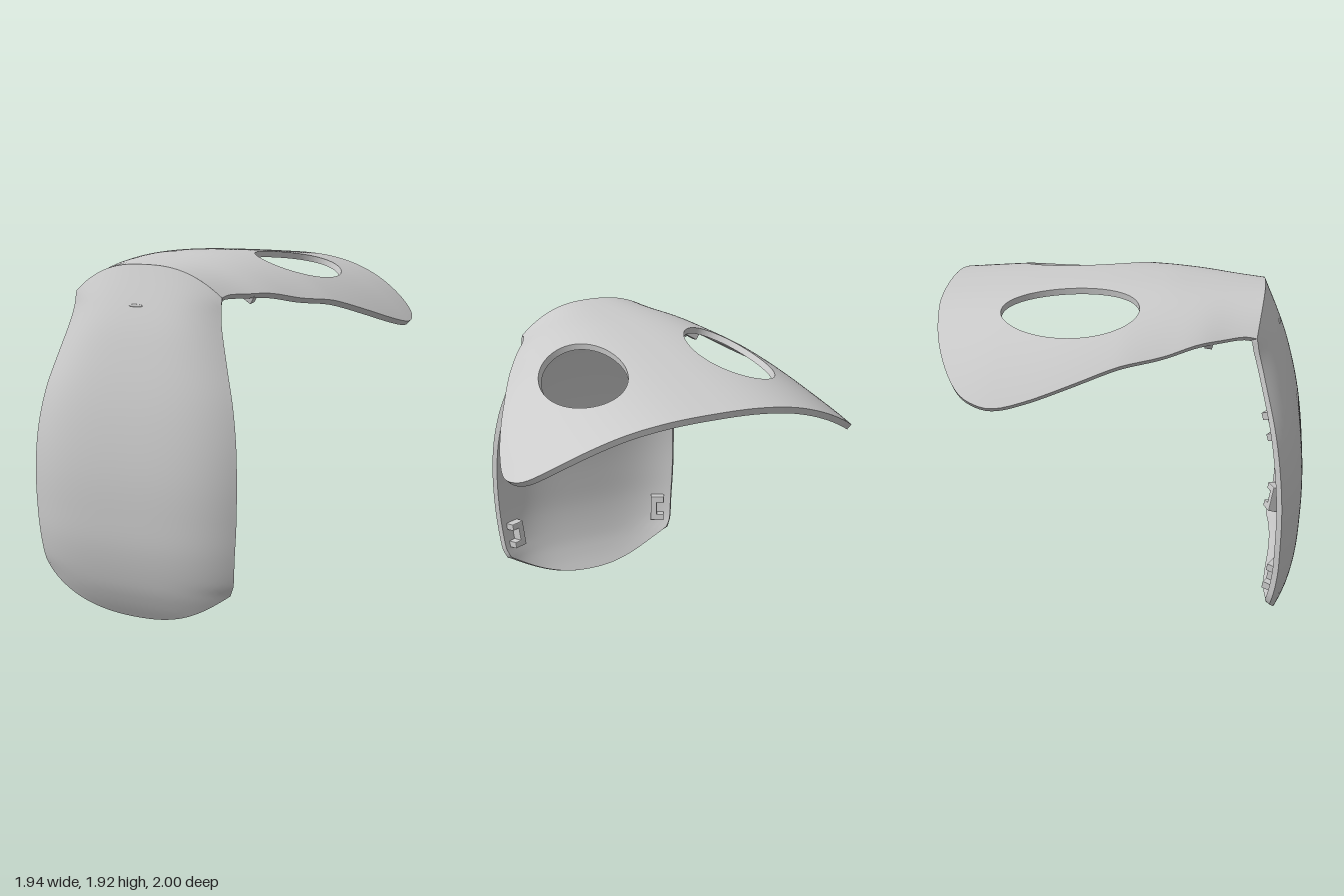
import * as THREE from 'three';
import { mergeGeometries, mergeVertices } from 'three/addons/utils/BufferGeometryUtils.js';

const THICK = 0.035;
const FOLD_X = 0.44;

// Smooth 1D curve through [position, value] keys
function curve(keys) {
  const slope = (i) => {
    const a = keys[Math.max(i - 1, 0)], b = keys[Math.min(i + 1, keys.length - 1)];
    return (b[1] - a[1]) / (b[0] - a[0]);
  };
  return (x) => {
    let i = 0;
    while (i < keys.length - 2 && x > keys[i + 1][0]) i++;
    const [x0, y0] = keys[i], [x1, y1] = keys[i + 1], h = x1 - x0;
    const t = Math.min(Math.max((x - x0) / h, 0), 1), t2 = t * t, t3 = t2 * t;
    return (2 * t3 - 3 * t2 + 1) * y0 + (t3 - 2 * t2 + t) * h * slope(i)
      + (3 * t2 - 2 * t3) * y1 + (t3 - t2) * h * slope(i + 1);
  };
}

// Top panel height
const topRidge = curve([[-1, 1.85], [-0.5, 1.89], [-0.1, 1.915], [0.2, 1.92], [0.4, 1.91], [0.75, 1.885]]);
const topBend = curve([[-1, 0.4], [-0.6, 0.41], [0, 0.5], [0.25, 0.64], [0.44, 0.78], [0.6, 1.1], [0.75, 1.4]]);
const topY = (x, z) => topRidge(z) - topBend(z) * Math.abs(x) ** 2.58;
const foldZ = (x) => 0.75 - 0.035 * (x / FOLD_X) ** 2;

// Front panel depth and half-width
const frontRidge = curve([[0, 0.84], [0.08, 0.885], [0.2, 0.935], [0.4, 0.98], [0.6, 0.996], [0.8, 1], [1, 0.988],
  [1.2, 0.962], [1.4, 0.92], [1.6, 0.863], [1.885, 0.75]]);
const frontBend = curve([[0, 0.09], [0.2, 0.095], [0.6, 0.112], [1.27, 0.122], [1.5, 0.125], [1.65, 0.115], [1.72, 0.1], [1.9, 0.09]]);
const frontWidth = curve([[0, 0.54], [0.2, 0.555], [0.25, 0.578], [0.4, 0.596], [0.6, 0.61], [0.8, 0.612], [1, 0.6],
  [1.2, 0.566], [1.4, 0.508], [1.57, 0.458], [1.65, 0.444], [1.72, FOLD_X], [1.9, FOLD_X]]);
const frontZ = (x, y) => frontRidge(y) - frontBend(y) * (x / frontWidth(y)) ** 4;

// Indexed grid of points from f(i, j)
function grid(ni, nj, f, flip = false) {
  const pos = [], idx = [];
  for (let i = 0; i <= ni; i++) for (let j = 0; j <= nj; j++) pos.push(...f(i, j));
  for (let i = 0; i < ni; i++) for (let j = 0; j < nj; j++) {
    const a = i * (nj + 1) + j, b = a + nj + 1;
    if (flip) idx.push(a, b + 1, b, a, a + 1, b + 1);
    else idx.push(a, b, b + 1, a, b + 1, a + 1);
  }
  const g = new THREE.BufferGeometry();
  g.setAttribute('position', new THREE.Float32BufferAttribute(pos, 3));
  g.setIndex(idx);
  return g;
}

// Give an open sheet an inner skin and a rim along every free edge
function thicken(sheet, t) {
  const outer = mergeVertices(sheet, 1e-5);
  outer.computeVertexNormals();
  const inner = outer.clone();
  const p = inner.attributes.position, n = outer.attributes.normal;
  for (let i = 0; i < p.count; i++) {
    p.setXYZ(i, p.getX(i) - n.getX(i) * t, p.getY(i) - n.getY(i) * t, p.getZ(i) - n.getZ(i) * t);
  }
  const idx = Array.from(outer.index.array);
  inner.setIndex(idx.slice().reverse());
  inner.computeVertexNormals();

  const edges = new Map();
  for (let f = 0; f < idx.length; f += 3) for (let k = 0; k < 3; k++) {
    const a = idx[f + k], b = idx[f + (k + 1) % 3];
    if (!edges.delete(b + '_' + a)) edges.set(a + '_' + b, [a, b]);
  }
  const pts = [];
  const put = (attr, i) => pts.push(attr.getX(i), attr.getY(i), attr.getZ(i));
  const o = outer.attributes.position;
  for (const [a, b] of edges.values()) {
    put(o, a); put(p, a); put(p, b);
    put(o, a); put(p, b); put(o, b);
  }
  let rim = new THREE.BufferGeometry();
  rim.setAttribute('position', new THREE.Float32BufferAttribute(pts, 3));
  rim = mergeVertices(rim, 1e-5);
  rim.computeVertexNormals();
  return mergeGeometries([outer, inner, rim]);
}

// Top panel: each half is a ring of rays from the oval opening to the half's border
function topPanel() {
  const hole = { x: 0.4225, z: -0.27, rx: 0.2125, rz: 0.367 };
  const outline = new THREE.CatmullRomCurve3([
    [0, -1], [0.18, -0.997], [0.35, -0.985], [0.64, -0.93], [0.825, -0.85], [0.92, -0.77], [0.965, -0.665], [0.97, -0.585],
    [0.935, -0.425], [0.86, -0.21], [0.77, 0], [0.667, 0.24], [0.56, 0.436], [0.466, 0.61], [0.446, 0.665], [FOLD_X, foldZ(FOLD_X)],
  ].map(([x, z]) => new THREE.Vector3(x, 0, z)));
  const border = outline.getSpacedPoints(90).map((p) => [p.x, p.z]);
  for (let i = 1; i <= 16; i++) {
    const x = FOLD_X * (1 - i / 16);
    border.push([x, foldZ(x)]);
  }
  for (let i = 1; i <= 48; i++) border.push([0, 0.75 - 1.75 * i / 48]);

  const rings = 16;
  const half = (s) => grid(border.length - 1, rings, (i, j) => {
    const [bx, bz] = border[i];
    const a = Math.atan2((bz - hole.z) / hole.rz, (bx - hole.x) / hole.rx);
    const hx = hole.x + hole.rx * Math.cos(a), hz = hole.z + hole.rz * Math.sin(a);
    const r = j / rings, x = hx + (bx - hx) * r, z = hz + (bz - hz) * r;
    return [s * x, topY(x, z), z];
  }, s < 0);
  return thicken(mergeGeometries([half(1), half(-1)]), THICK);
}

// Front panel: columns hang from the fold down to the curved lower edge
function frontPanel() {
  const rows = 56, cols = 48;
  return thicken(grid(rows, cols, (i, j) => {
    const v = i / rows, u = j / cols * 2 - 1;
    const fx = u * FOLD_X, fz = foldZ(fx), fy = topY(fx, fz);
    const y = fy + (0.2 * Math.abs(u) ** 2.3 - fy) * v;
    const x = u * frontWidth(y);
    return [x, y, frontZ(x, y) + (fz - frontZ(fx, fy)) * (1 - v) ** 6];
  }), THICK);
}

// U-shaped clip standing on the inner skin
function clipGeometry(depth) {
  const s = new THREE.Shape();
  [[-0.035, -0.075], [0.04, -0.075], [0.04, -0.045], [-0.005, -0.045],
    [-0.005, 0.045], [0.04, 0.045], [0.04, 0.075], [-0.035, 0.075]]
    .forEach(([x, y], i) => (i ? s.lineTo(x, y) : s.moveTo(x, y)));
  return new THREE.ExtrudeGeometry(s, { depth, bevelEnabled: true, bevelSize: 0.005, bevelThickness: 0.005, bevelSegments: 2 });
}

export function createModel() {
  const model = new THREE.Group();
  const mat = new THREE.MeshStandardMaterial({ color: 0xcccccc });
  const add = (name, geo) => {
    const m = new THREE.Mesh(geo, mat);
    m.name = name;
    model.add(m);
    return m;
  };
  add('topPanel', topPanel());
  add('frontPanel', frontPanel());

  // Small slot mark on the front
  const slot = add('frontSlot', new THREE.SphereGeometry(1, 24, 12));
  slot.scale.set(0.042, 0.008, 0.006);
  slot.position.set(0, 1.678, frontRidge(1.678));

  const e = 0.002;
  const addClip = (name, geo, point, normal, along) => {
    const z = normal.normalize().negate();
    const x = new THREE.Vector3().crossVectors(along, z).normalize();
    const y = new THREE.Vector3().crossVectors(z, x);
    const clip = add(name, geo);
    clip.quaternion.setFromRotationMatrix(new THREE.Matrix4().makeBasis(x, y, z));
    clip.position.copy(point).addScaledVector(z, THICK * 0.7);
  };

  // Clips inside the front panel
  const frontClip = clipGeometry(0.07), topClip = clipGeometry(0.055);
  for (const [x, y] of [[0.48, 1.27], [-0.48, 1.27], [0.51, 0.34], [-0.51, 0.34], [0, 1.66]]) {
    const n = new THREE.Vector3(-(frontZ(x + e, y) - frontZ(x - e, y)) / (2 * e), -(frontZ(x, y + e) - frontZ(x, y - e)) / (2 * e), 1);
    const along = x ? new THREE.Vector3(0, -Math.sign(x), 0) : new THREE.Vector3(1, 0, 0);
    addClip('frontClip', x ? frontClip : topClip, new THREE.Vector3(x, y, frontZ(x, y)), n, along);
  }
  // Clips under the top panel
  for (const [x, z] of [[0.69, -0.62], [-0.69, -0.62], [0.5, 0.42], [-0.5, 0.42], [0, 0.62]]) {
    const n = new THREE.Vector3(-(topY(x + e, z) - topY(x - e, z)) / (2 * e), 1, -(topY(x, z + e) - topY(x, z - e)) / (2 * e));
    const along = x ? new THREE.Vector3(0, 0, Math.sign(x)) : new THREE.Vector3(1, 0, 0);
    addClip('topClip', topClip, new THREE.Vector3(x, topY(x, z), z), n, along);
  }
  return model;
}
